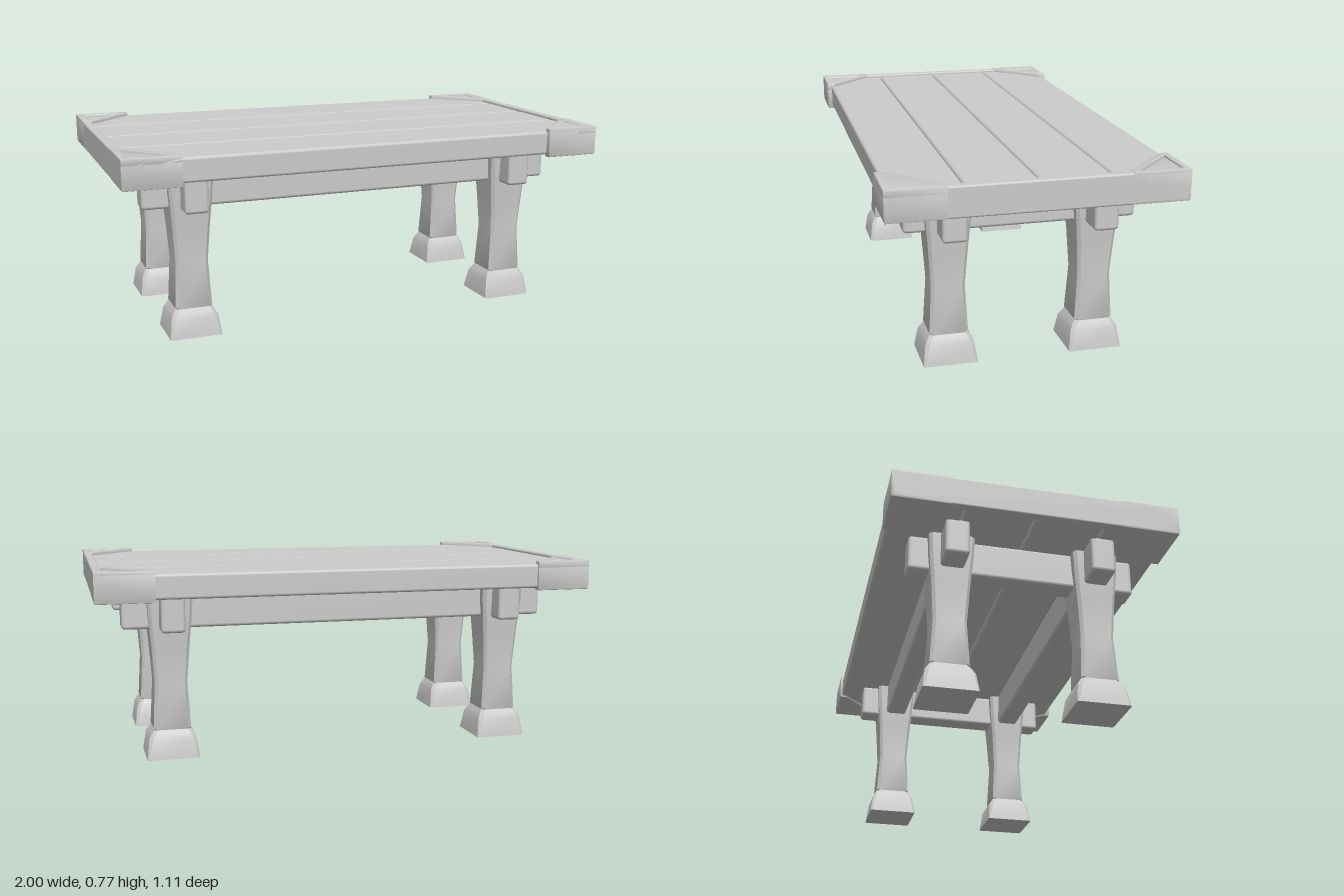
import * as THREE from 'three';
import { toCreasedNormals } from 'three/addons/utils/BufferGeometryUtils.js';
import { RoundedBoxGeometry } from 'three/addons/geometries/RoundedBoxGeometry.js';

const material = new THREE.MeshStandardMaterial({ color: 0xcccccc });

function add(parent, name, geometry, x = 0, y = 0, z = 0) {
  const mesh = new THREE.Mesh(geometry, material);
  mesh.name = name;
  mesh.position.set(x, y, z);
  parent.add(mesh);
  return mesh;
}

// Box given by its size, with softly rounded edges
const softBox = (w, h, d, r) => new RoundedBoxGeometry(w, h, d, 2, r);

// Square column with chamfered corners; rings are [y, halfWidth, chamfer]
function loftSquare(rings) {
  const positions = [], index = [], n = 8;
  for (const [y, h, c] of rings) {
    const k = h - c;
    for (const [x, z] of [[h, -k], [h, k], [k, h], [-k, h], [-h, k], [-h, -k], [-k, -h], [k, -h]]) {
      positions.push(x, y, z);
    }
  }
  const last = (rings.length - 1) * n;
  for (let r = 0; r < rings.length - 1; r++) {
    for (let i = 0; i < n; i++) {
      const a = r * n + i, b = r * n + (i + 1) % n;
      index.push(a, a + n, b, b, a + n, b + n);
    }
  }
  for (let i = 1; i < n - 1; i++) {
    index.push(0, i, i + 1, last, last + i + 1, last + i);
  }
  const g = new THREE.BufferGeometry();
  g.setAttribute('position', new THREE.Float32BufferAttribute(positions, 3));
  g.setIndex(index);
  return toCreasedNormals(g, 0.6);
}

// Upright prism over an outline of [x, z] points, with an optional hole
function prism(outline, y0, y1, bevel, hole) {
  const toPoints = (list) => list.map(([x, z]) => new THREE.Vector2(x, -z));
  const shape = new THREE.Shape(toPoints(outline));
  if (hole) shape.holes.push(new THREE.Path(toPoints(hole)));
  const g = new THREE.ExtrudeGeometry(shape, {
    depth: y1 - y0 - 2 * bevel, bevelEnabled: bevel > 0,
    bevelThickness: bevel, bevelSize: bevel, bevelOffset: -bevel, bevelSegments: 2,
  });
  g.rotateX(-Math.PI / 2);
  g.translate(0, y0 + bevel, 0);
  return toCreasedNormals(g, 0.6);
}

export function createModel() {
  const table = new THREE.Group();
  table.name = 'table';

  // Four planks side by side
  const top = new THREE.Group();
  top.name = 'tableTop';
  table.add(top);
  for (let i = 0; i < 4; i++) {
    add(top, 'plank', softBox(1.94, 0.098, 0.269, 0.012), 0, 0.708, -0.411 + i * 0.271);
  }

  // End bars
  for (const sx of [-1, 1]) {
    add(top, 'endBar', softBox(0.036, 0.118, 1.11, 0.008), sx * 0.982, 0.709, 0);
  }

  // Corner brackets: a solid body with a thin raised rim
  const outline = [[1, 0.556], [0.775, 0.556], [0.775, 0.525], [0.965, 0.335], [1, 0.335]];
  const hole = [[0.975, 0.532], [0.81, 0.532], [0.975, 0.367]];
  for (const sx of [-1, 1]) {
    for (const sz of [-1, 1]) {
      const place = (list) => list.map(([x, z]) => [x * sx, z * sz]);
      const bracket = new THREE.Group();
      bracket.name = 'cornerBracket';
      top.add(bracket);
      add(bracket, 'bracketBody', prism(place(outline), 0.65, 0.762, 0.005));
      add(bracket, 'bracketRim', prism(place(outline), 0.74, 0.77, 0.003, place(hole)));
    }
  }

  // Beams under the top, crossing at the legs
  for (const s of [-1, 1]) {
    add(table, 'longBeam', softBox(1.78, 0.148, 0.094, 0.014), 0, 0.592, s * 0.285);
    add(table, 'crossBeam', softBox(0.094, 0.148, 0.9, 0.014), s * 0.7, 0.59, 0);
  }

  // Waisted legs on flared feet
  const legShape = loftSquare([
    [0.1, 0.066, 0.012], [0.118, 0.075, 0.012], [0.3, 0.065, 0.012],
    [0.45, 0.075, 0.012], [0.58, 0.086, 0.012], [0.665, 0.09, 0.012],
  ]);
  const footShape = loftSquare([
    [0, 0.105, 0.006], [0.08, 0.094, 0.014], [0.1, 0.083, 0.014], [0.114, 0.074, 0.012],
  ]);
  for (const sx of [-1, 1]) {
    for (const sz of [-1, 1]) {
      const leg = new THREE.Group();
      leg.name = 'leg';
      leg.position.set(sx * 0.703, 0, sz * 0.287);
      table.add(leg);
      add(leg, 'legPost', legShape);
      add(leg, 'foot', footShape);
    }
  }
  return table;
}
